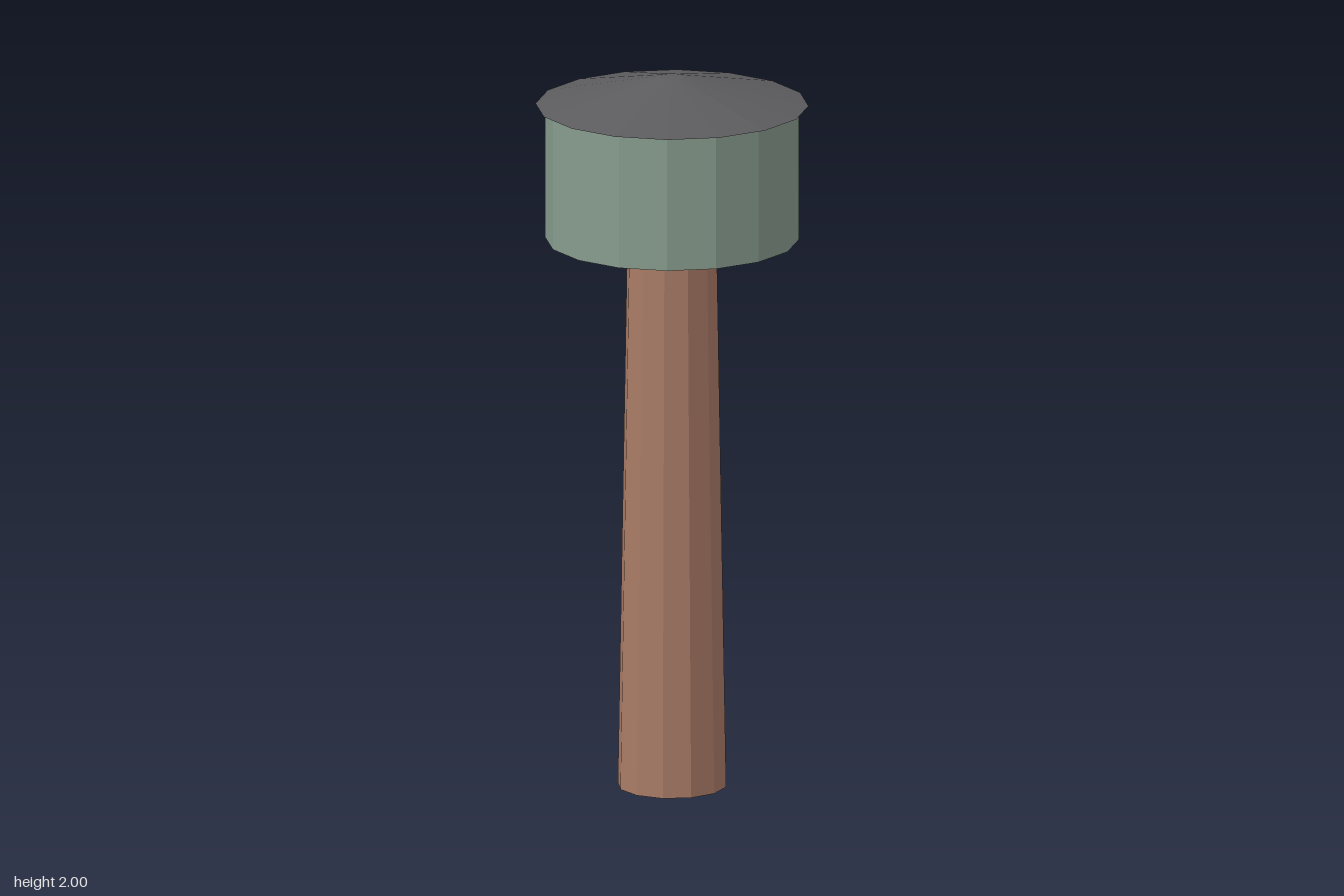
import * as THREE from 'three';

function material(name, color) {
  const m = new THREE.MeshStandardMaterial({ color, flatShading: true });
  m.name = name;
  return m;
}

// Faceted, capped round section standing between two heights
function section(name, rTop, rBottom, y0, y1, sides, mat) {
  const geometry = new THREE.CylinderGeometry(rTop, rBottom, y1 - y0, sides);
  const mesh = new THREE.Mesh(geometry, mat);
  mesh.name = name;
  mesh.position.y = (y0 + y1) / 2;
  return mesh;
}

export function createModel() {
  const brick = material('brick brown', 0xa87a66);
  const green = material('grey green', 0x879b8d);
  const slate = material('slate grey', 0x5c5b5e);

  const tower = new THREE.Group();
  tower.name = 'waterTower';
  tower.add(
    // Tapered column, ending just short of the tank
    section('column', 0.124, 0.15, 0, 1.526, 12, brick),
    // Wide drum tank
    section('tank', 0.347, 0.347, 1.544, 1.921, 16, green),
    // Shallow roof with a small flat top and overhanging eaves
    section('roof', 0.034, 0.373, 1.921, 2, 16, slate),
  );
  return tower;
}
